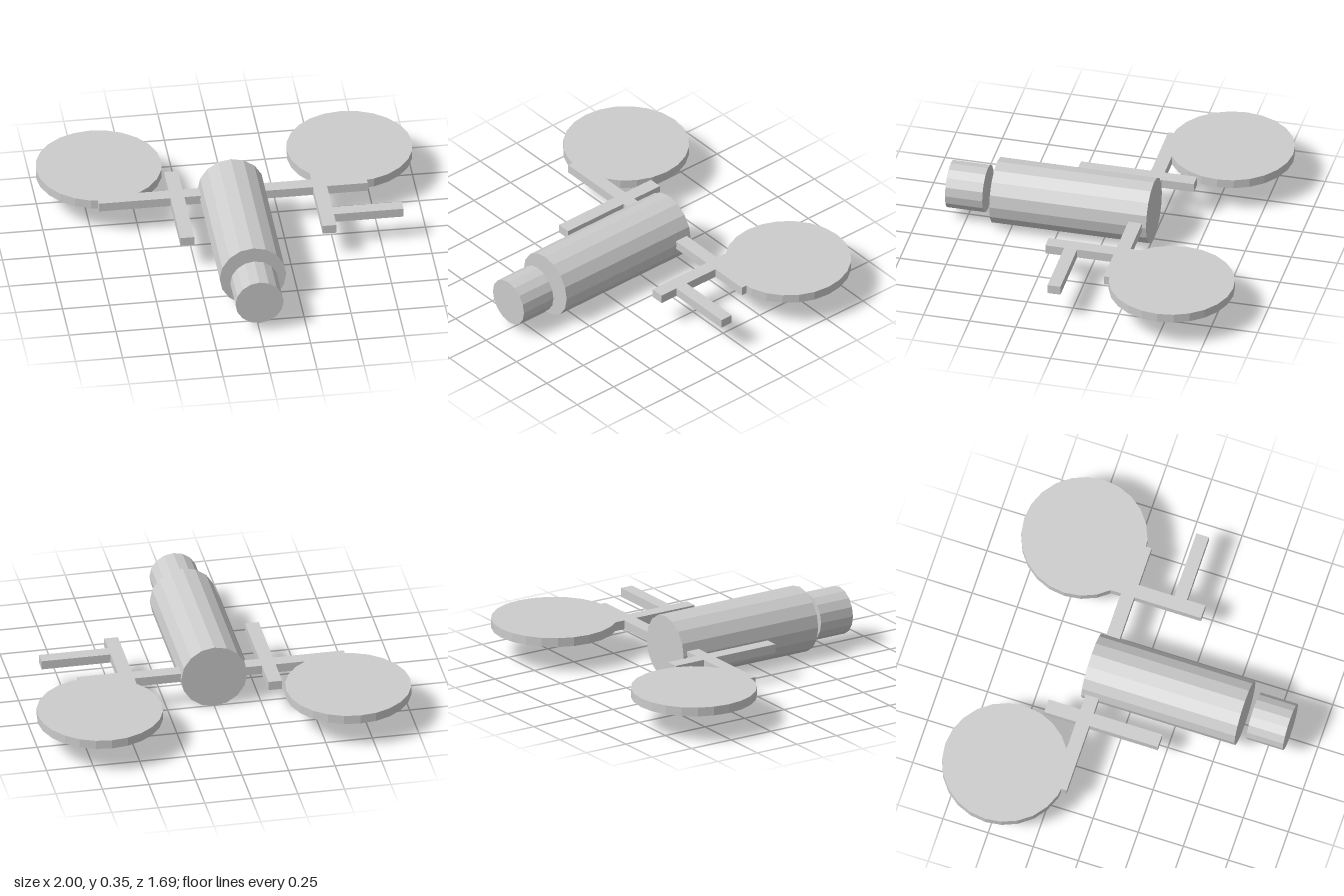
import * as THREE from 'three';

const MID = 0.177;    // height of the common centre plane
const THICK = 0.049;  // thickness of the flat parts

export function createModel() {
  const model = new THREE.Group();
  const material = new THREE.MeshStandardMaterial({ color: 0xcccccc, flatShading: true });

  function add(name, geometry, x, z) {
    const mesh = new THREE.Mesh(geometry, material);
    mesh.name = name;
    mesh.position.set(x, MID, z);
    model.add(mesh);
  }

  // Cylinder lying along z between two depths
  function barrel(name, radius, z0, z1) {
    const geometry = new THREE.CylinderGeometry(radius, radius, z1 - z0, 16).rotateX(Math.PI / 2);
    add(name, geometry, 0, (z0 + z1) / 2);
  }

  // Flat bar given by its footprint
  function bar(name, x0, x1, z0, z1) {
    add(name, new THREE.BoxGeometry(x1 - x0, THICK, z1 - z0), (x0 + x1) / 2, (z0 + z1) / 2);
  }

  // Main body and the separate nose piece ahead of it
  barrel('body', 0.177, -0.255, 0.595);
  barrel('nose', 0.128, 0.645, 0.847);

  // Round panels at the back, one on each side
  for (const [side, s] of [['left', 1], ['right', -1]]) {
    add(side + 'Disc', new THREE.CylinderGeometry(0.333, 0.333, THICK, 24), s * 0.667, -0.515);
  }

  // Cross beam through the body, and the arms it carries
  bar('crossBeam', -0.715, 0.715, -0.232, -0.158);
  bar('rightArm', -0.334, -0.26, -0.408, 0.222);
  bar('leftArm', 0.424, 0.498, -0.408, 0.212);
  bar('leftBranch', 0.498, 0.868, 0.04, 0.11);

  return model;
}
